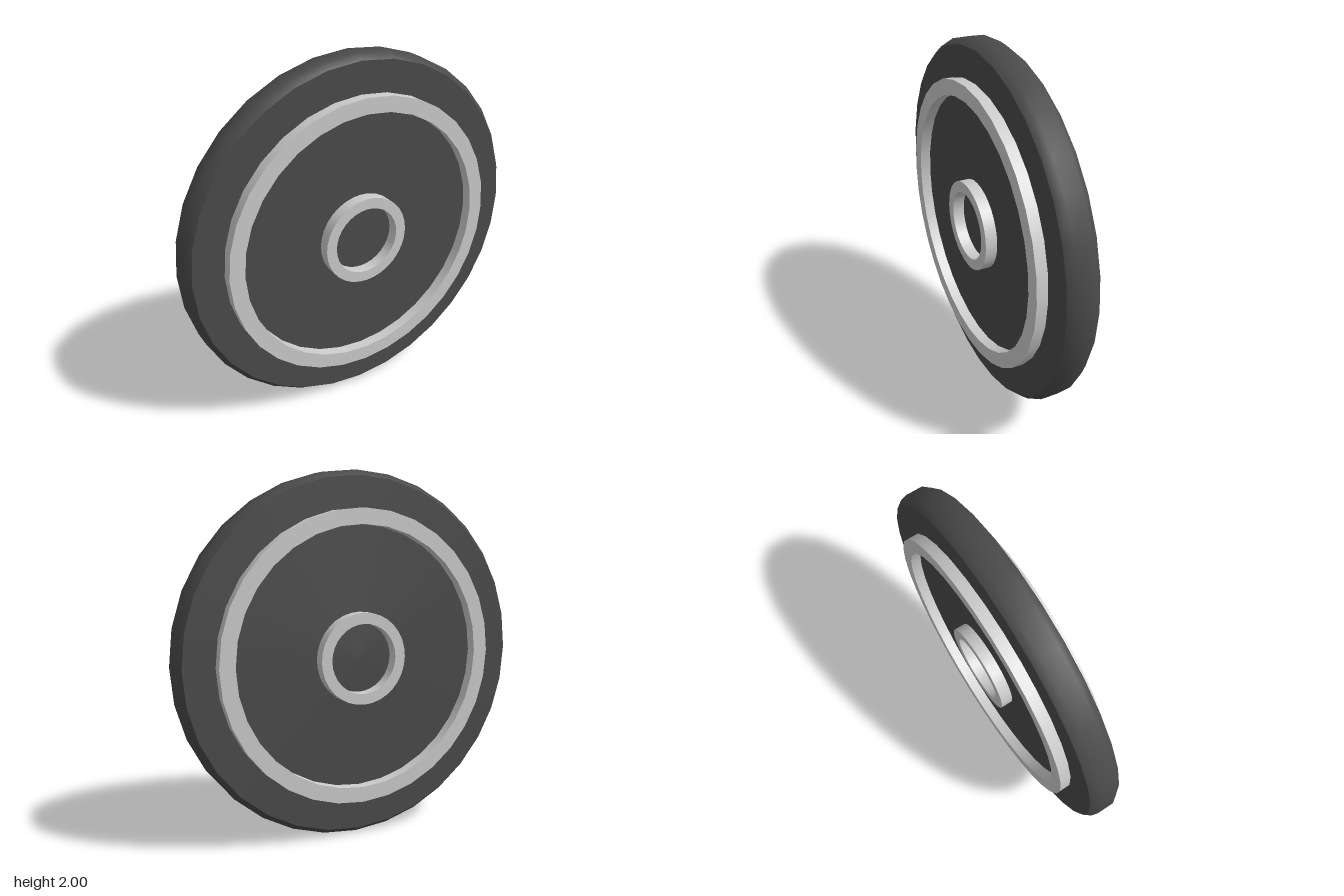
import * as THREE from 'three';
import { toCreasedNormals } from 'three/addons/utils/BufferGeometryUtils.js';

const SEGMENTS = 32;

// Revolves a [radius, z] profile around the z axis, keeping sharp corners sharp.
function turned(name, profile, material) {
  const points = profile.map(([r, z]) => new THREE.Vector2(r, z));
  const lathe = new THREE.LatheGeometry(points, SEGMENTS).rotateX(Math.PI / 2);
  const mesh = new THREE.Mesh(toCreasedNormals(lathe, 0.8), material);
  mesh.name = name;
  mesh.position.y = 1;
  return mesh;
}

// Square-edged ring that stands out equally on both faces.
function ring(name, inner, outer, half, material) {
  return turned(name, [
    [inner, -half], [outer, -half], [outer, half], [inner, half], [inner, -half],
  ], material);
}

export function createModel() {
  const group = new THREE.Group();
  group.name = 'wheel';
  const dark = new THREE.MeshStandardMaterial({ color: 0x4a4a4a });
  const grey = new THREE.MeshStandardMaterial({ color: 0xcccccc });

  // Solid disc with a bevelled rim
  group.add(turned('disc', [
    [0, -0.087], [0.97, -0.087], [1, -0.048], [1, 0.048], [0.97, 0.087], [0, 0.087],
  ], dark));

  // Raised rings on both faces
  group.add(ring('outerRing', 0.715, 0.8, 0.147, grey));
  group.add(ring('hubRing', 0.19, 0.25, 0.152, grey));
  return group;
}
